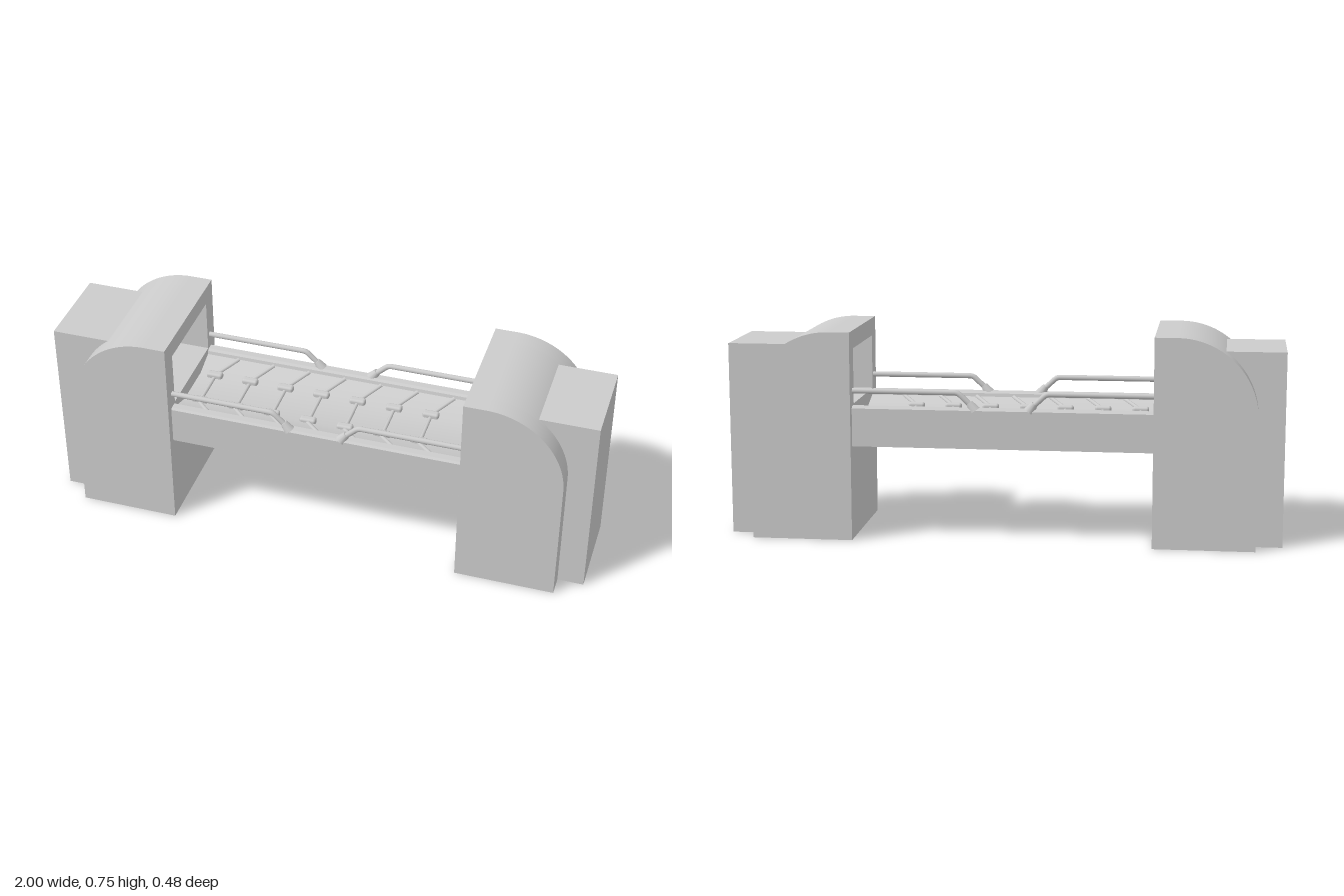
import * as THREE from 'three';
import { toCreasedNormals } from 'three/addons/utils/BufferGeometryUtils.js';
import { RoundedBoxGeometry } from 'three/addons/geometries/RoundedBoxGeometry.js';

const grey = new THREE.MeshStandardMaterial({ color: 0xcccccc });

function add(parent, name, geometry, x = 0, y = 0, z = 0) {
  const mesh = new THREE.Mesh(geometry, grey);
  mesh.name = name;
  mesh.position.set(x, y, z);
  parent.add(mesh);
  return mesh;
}

// Extrude an XY shape from z = 0 with crisp edges and smooth curves
const extrude = (shape, depth) => toCreasedNormals(
  new THREE.ExtrudeGeometry(shape, { depth, bevelEnabled: false, curveSegments: 20 }), 0.5);

// Side outline of a tower; the core has a notch that forms the opening
function towerShape(withOpening) {
  const s = new THREE.Shape();
  s.moveTo(0.54, 0);
  s.lineTo(0.905, 0);
  s.lineTo(0.905, 0.47);
  s.absarc(0.62, 0.47, 0.285, 0, Math.PI / 2, false);
  s.lineTo(0.54, 0.755);
  if (withOpening) {
    s.lineTo(0.54, 0.69);
    s.lineTo(0.67, 0.69);
    s.lineTo(0.67, 0.49);
    s.lineTo(0.54, 0.49);
  }
  s.closePath();
  return s;
}

// Straight round bar between two points
function bar(parent, name, a, b, radius) {
  const from = new THREE.Vector3(...a), to = new THREE.Vector3(...b);
  const dir = to.clone().sub(from);
  const mesh = add(parent, name, new THREE.CylinderGeometry(radius, radius, dir.length(), 10));
  mesh.position.copy(from).add(to).multiplyScalar(0.5);
  mesh.quaternion.setFromUnitVectors(new THREE.Vector3(0, 1, 0), dir.normalize());
}

// One end: tower, rear block and the pair of handrails
function buildEnd() {
  const end = new THREE.Group();
  add(end, 'towerCore', extrude(towerShape(true), 0.35), 0, 0, -0.175);
  for (const side of [1, -1]) {
    add(end, 'towerCheek', extrude(towerShape(false), 0.067), 0, 0, side > 0 ? 0.175 : -0.242);

    const z = side * 0.197;
    const path = new THREE.CurvePath();
    const p = [[0.56, 0.54], [0.17, 0.54], [0.148, 0.53], [0.1, 0.485]]
      .map(([x, y]) => new THREE.Vector3(x, y, z));
    path.add(new THREE.LineCurve3(p[0], p[1]));
    path.add(new THREE.QuadraticBezierCurve3(p[1], new THREE.Vector3(0.158, 0.54, z), p[2]));
    path.add(new THREE.LineCurve3(p[2], p[3]));
    add(end, 'handrail', new THREE.TubeGeometry(path, 60, 0.01, 10));
    const foot = add(end, 'handrailFoot', new THREE.CylinderGeometry(0.012, 0.021, 0.035, 12), 0.107, 0.491, z);
    foot.rotation.z = -0.6;
  }
  add(end, 'endBlock', new THREE.BoxGeometry(0.24, 0.7, 0.334), 0.88, 0.35, 0);
  return end;
}

export function createModel() {
  const model = new THREE.Group();
  model.name = 'troughConveyor';

  // Two identical ends, turned to face each other
  for (const [name, turn] of [['leftEnd', 0], ['rightEnd', Math.PI]]) {
    const end = buildEnd();
    end.name = name;
    end.rotation.y = turn;
    model.add(end);
  }

  // Bed cross-section: outer rails with a sloped trough above and below
  const half = [
    [0.08, 0.41], [0.15, 0.34], [0.213, 0.34], [0.213, 0.478], [0.206, 0.485],
    [0.181, 0.485], [0.173, 0.478], [0.17, 0.466], [0.085, 0.437],
  ];
  const mirrored = half.map(([x, y]) => [-x, y]).reverse();
  const section = new THREE.Shape([...half, ...mirrored].map(([x, y]) => new THREE.Vector2(x, y)));
  const bed = add(model, 'bed', extrude(section, 1.1), -0.55, 0, 0);
  bed.rotation.y = Math.PI / 2;

  // Rows of roller bars, angled on the trough walls, joined by small blocks
  const rollers = new THREE.Group();
  rollers.name = 'rollers';
  model.add(rollers);
  for (let i = 0; i < 7; i++) {
    const x = -0.48 + i * 0.139;
    bar(rollers, 'centreRoller', [x, 0.438, -0.08], [x, 0.438, 0.08], 0.007);
    for (const side of [1, -1]) {
      bar(rollers, 'wingRoller', [x, 0.439, side * 0.09], [x + 0.064, 0.466, side * 0.17], 0.008);
      add(rollers, 'rollerBlock', new RoundedBoxGeometry(0.06, 0.026, 0.03, 2, 0.009), x, 0.442, side * 0.081);
    }
  }
  return model;
}
